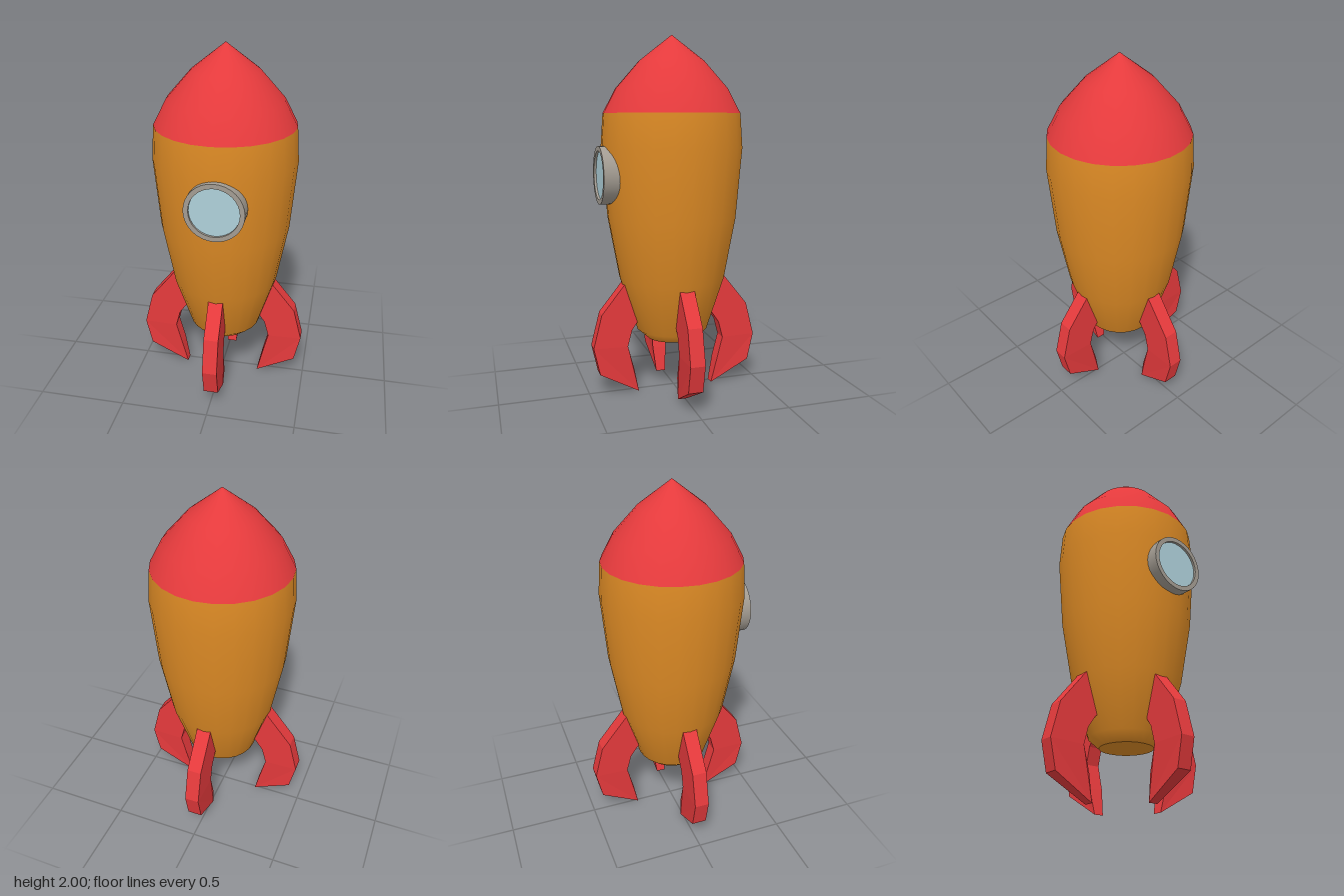
import * as THREE from 'three';

const CENTRE = 0.015; // hull axis sits slightly off the fin centre
const SIDES = 24;

const material = (name, color) => {
  const m = new THREE.MeshStandardMaterial({ color });
  m.name = name;
  return m;
};

const points = (list) => list.map(([x, y]) => new THREE.Vector2(x, y));

function addMesh(parent, name, geometry, mat) {
  const mesh = new THREE.Mesh(geometry, mat);
  mesh.name = name;
  parent.add(mesh);
  return mesh;
}

// Curved fin pointing along +x, pinched towards its foot
function finGeometry() {
  const width = 0.082;
  const outline = points([
    [0.26, 0.685], [0.18, 0.58], [0.17, 0.46], [0.215, 0.435], [0.26, 0.37],
    [0.285, 0.275], [0.25, 0.14], [0.22, 0], [0.445, 0.125], [0.48, 0.28], [0.432, 0.47],
  ]);
  const geometry = new THREE.ExtrudeGeometry(new THREE.Shape(outline), { depth: width, bevelEnabled: false });
  geometry.translate(0, 0, -width / 2);
  const p = geometry.attributes.position;
  for (let i = 0; i < p.count; i++) {
    if (p.getY(i) < 0.05) p.setZ(i, p.getZ(i) * 0.66);
  }
  geometry.computeVertexNormals();
  return geometry;
}

export function createModel() {
  const rocket = new THREE.Group();
  rocket.name = 'rocket';
  const orange = material('hull orange', 0xde8b25);
  const red = material('red', 0xe53a3c);
  const grey = material('window frame grey', 0xa39c92);
  const glass = material('window glass blue', 0xaed0da);

  // Hull, nose and base share one axis
  const body = new THREE.Group();
  body.name = 'body';
  body.position.set(CENTRE, 0, CENTRE);
  rocket.add(body);
  const hull = points([[0.145, 0.308], [0.203, 0.36], [0.3, 0.66], [0.362, 1.0], [0.395, 1.39], [0.382, 1.577]]);
  const nose = points([[0.382, 1.577], [0.312, 1.71], [0.18, 1.86], [0, 2]]);
  addMesh(body, 'hull', new THREE.LatheGeometry(hull, SIDES), orange);
  addMesh(body, 'noseCone', new THREE.LatheGeometry(nose, SIDES), red);
  const base = addMesh(body, 'base', new THREE.CircleGeometry(0.145, SIDES), orange);
  base.rotation.x = Math.PI / 2;
  base.position.y = 0.308;

  // Round window: frame with a slightly recessed pane
  const porthole = new THREE.Group();
  porthole.name = 'porthole';
  porthole.position.set(0.037, 1.245, 0);
  rocket.add(porthole);
  const rim = [[0.158, 0.3], [0.158, 0.435], [0.132, 0.435], [0.132, 0.415]];
  for (let i = 0; i < 3; i++) {
    const band = new THREE.LatheGeometry(points([rim[i], rim[i + 1]]), 32);
    addMesh(porthole, 'windowFrame', band.rotateX(Math.PI / 2), grey);
  }
  addMesh(porthole, 'windowPane', new THREE.CircleGeometry(0.132, 32), glass).position.z = 0.422;

  // Four fins at right angles
  const fin = finGeometry();
  ['leftFin', 'backFin', 'rightFin', 'frontFin'].forEach((name, i) => {
    const mesh = addMesh(rocket, name, fin, red);
    mesh.rotation.y = i * Math.PI / 2;
    mesh.position.set(i % 2 ? CENTRE : 0, 0, i % 2 ? 0 : CENTRE);
  });
  return rocket;
}
